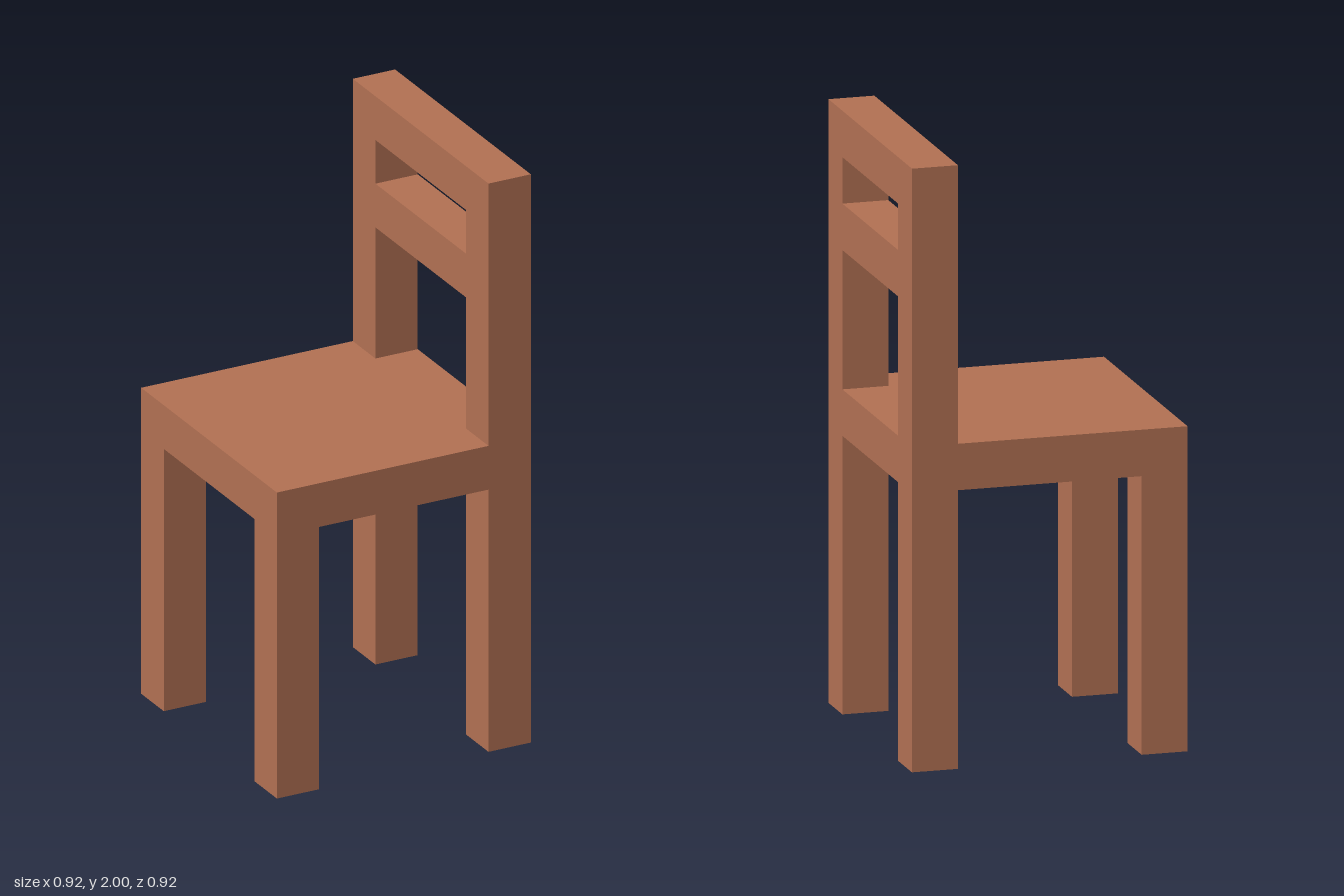
import * as THREE from 'three';

// The chair is laid out on a 6 x 13 x 6 grid of square-timber units.
const U = 2 / 13;

export function createModel() {
  const chair = new THREE.Group();
  chair.name = 'chair';
  const wood = new THREE.MeshStandardMaterial({ color: 0xb06f52 });
  wood.name = 'reddish brown wood';

  // Box given by centre x/z, bottom y and size, all in grid units
  const addBox = (name, x, y, z, w, h, d) => {
    const mesh = new THREE.Mesh(new THREE.BoxGeometry(w * U, h * U, d * U), wood);
    mesh.position.set(x * U, (y + h / 2) * U, z * U);
    mesh.name = name;
    chair.add(mesh);
  };

  // Seat slab
  addBox('seat', 0, 6, 0, 6, 1, 6);

  // Legs at the four corners, back posts on the +x side
  for (const [side, z] of [['Left', -2.5], ['Right', 2.5]]) {
    addBox('frontLeg' + side, -2.5, 0, z, 1, 6, 1);
    addBox('backLeg' + side, 2.5, 0, z, 1, 6, 1);
    addBox('backPost' + side, 2.5, 7, z, 1, 6, 1);
  }

  // Rails between the back posts
  addBox('lowerBackRail', 2.5, 10, 0, 1, 1, 4);
  addBox('topBackRail', 2.5, 12, 0, 1, 1, 4);

  return chair;
}
